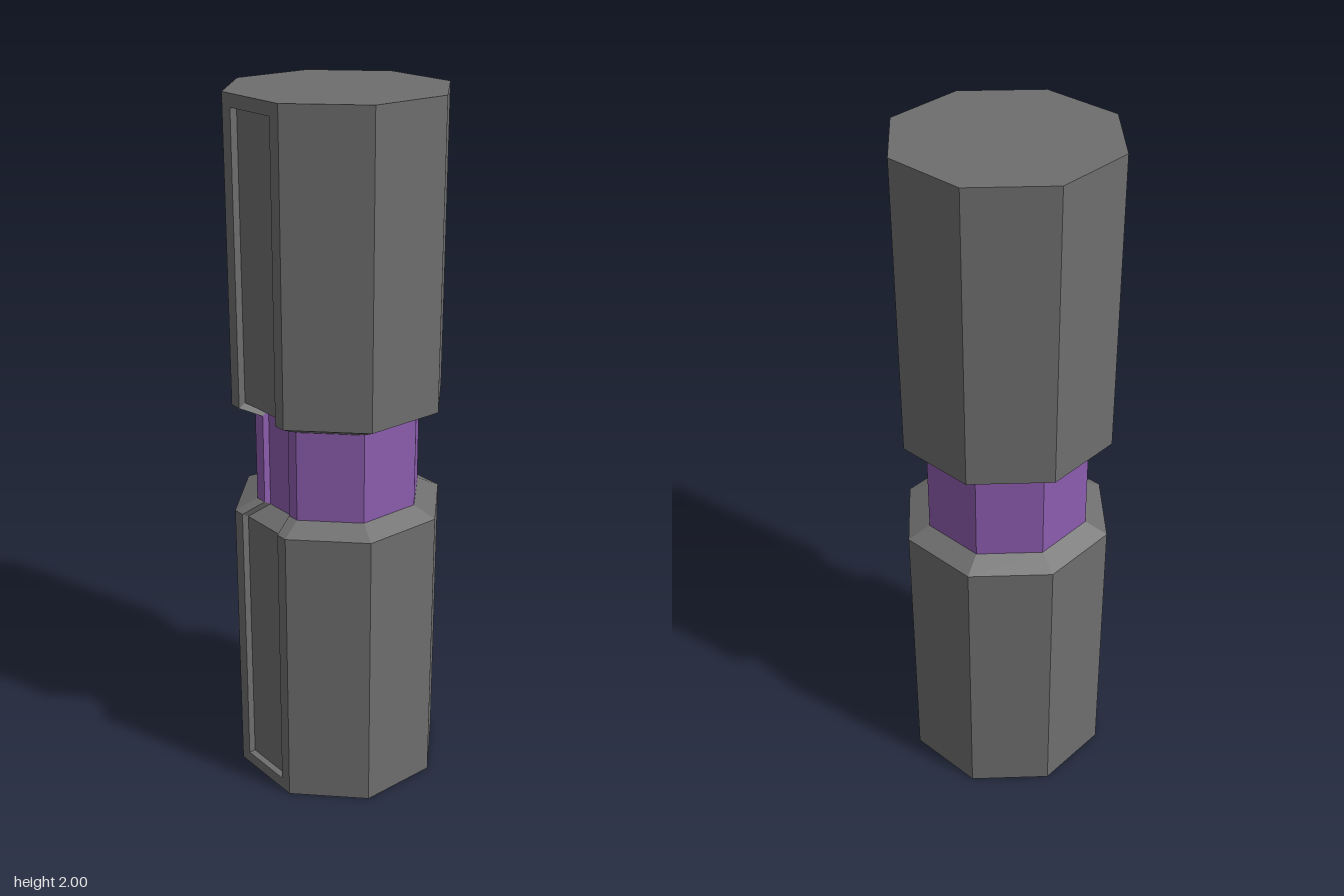
import * as THREE from 'three';

const SIDES = 8;
const HALF = Math.PI / SIDES;
const BORDER = 0.035; // frame around the recessed channel
const DEPTH = 0.02;   // channel depth
const GROOVED = 3;    // index of the face carrying the channel

// Corner radius and height, bottom to top
const PROFILE = [[0.305, 0], [0.305, 0.84], [0.24, 0.87], [0.24, 1.13], [0.305, 1.16], [0.305, 2]];
// Height of the channel rim and floor at each profile point
const RIM_Y = [BORDER, 0.84, 0.87, 1.13, 1.16, 2 - BORDER];
const FLOOR_Y = [BORDER, 0.828, 0.858, 1.142, 1.172, 2 - BORDER];

// Maps (across, outward, up) on one side face to model space
function facePoint(face, u, a, y) {
  const t = HALF + face * 2 * HALF;
  const nx = Math.cos(t), nz = Math.sin(t);
  return [nx * a + nz * u, y, nz * a - nx * u];
}

function quad(out, a, b, c, d) {
  out.push(...a, ...b, ...c, ...a, ...c, ...d);
}

// Row of points across a face; the grooved face dips to the channel floor
function row(face, i) {
  const [r, y] = PROFILE[i];
  const a = r * Math.cos(HALF), h = r * Math.sin(HALF), w = h - BORDER;
  const pts = face === GROOVED
    ? [[-h, a, y], [-w, a, RIM_Y[i]], [-w, a - DEPTH, FLOOR_Y[i]],
      [w, a - DEPTH, FLOOR_Y[i]], [w, a, RIM_Y[i]], [h, a, y]]
    : [[-h, a, y], [h, a, y]];
  return pts.map((p) => facePoint(face, ...p));
}

// Side faces between consecutive profile points
function shell(from, to) {
  const out = [];
  for (let face = 0; face < SIDES; face++) {
    for (let i = from; i < to; i++) {
      const lo = row(face, i), hi = row(face, i + 1);
      for (let k = 0; k < lo.length - 1; k++) quad(out, lo[k], lo[k + 1], hi[k + 1], hi[k]);
    }
  }
  // Closed ends of the channel
  const last = PROFILE.length - 1;
  if (from === 0) {
    const p = row(GROOVED, 0);
    quad(out, p[0], p[5], p[4], p[1]);
    quad(out, p[1], p[4], p[3], p[2]);
  }
  if (to === last) {
    const p = row(GROOVED, last);
    quad(out, p[1], p[4], p[5], p[0]);
    quad(out, p[2], p[3], p[4], p[1]);
  }
  const geo = new THREE.BufferGeometry();
  geo.setAttribute('position', new THREE.Float32BufferAttribute(out, 3));
  geo.computeVertexNormals();
  return geo;
}

export function createModel() {
  const grey = new THREE.MeshStandardMaterial({ color: 0x6e6e6e });
  grey.name = 'grey casing';
  const purple = new THREE.MeshStandardMaterial({ color: 0x8c5cae });
  purple.name = 'purple core';

  const model = new THREE.Group();
  model.name = 'octagonalCapsule';
  const add = (name, geo, mat) => {
    const mesh = new THREE.Mesh(geo, mat);
    mesh.name = name;
    model.add(mesh);
    return mesh;
  };

  // Casings with tapered collars, joined by the narrow core
  add('lowerCasing', shell(0, 2), grey);
  add('core', shell(2, 3), purple);
  add('upperCasing', shell(3, 5), grey);

  // Flat octagonal ends
  const cap = new THREE.CircleGeometry(PROFILE[0][0], SIDES);
  add('bottomCap', cap, grey).rotation.x = Math.PI / 2;
  const top = add('topCap', cap, grey);
  top.rotation.x = -Math.PI / 2;
  top.position.y = 2;
  return model;
}
